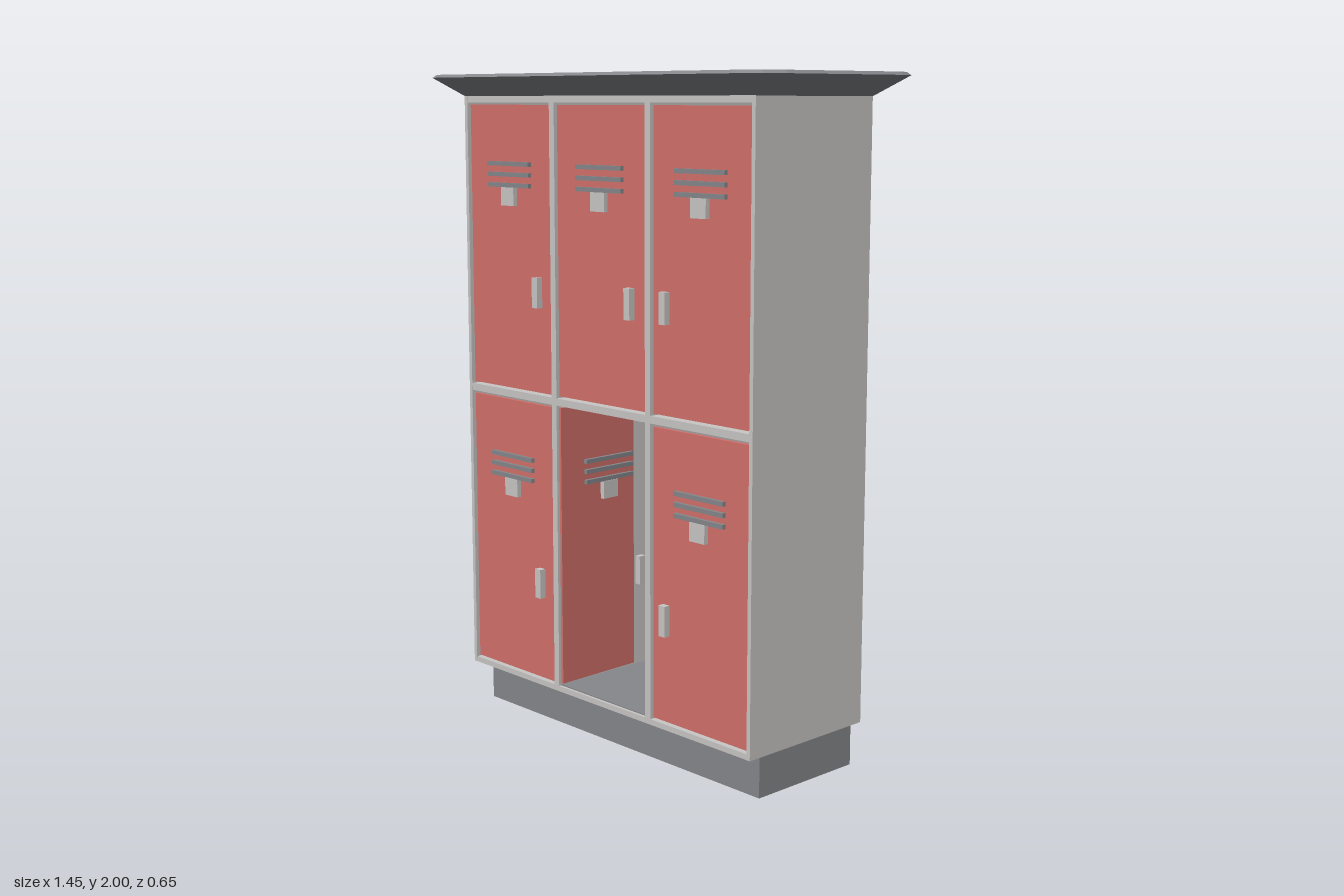
import * as THREE from 'three';

const mat = (name, color) => {
  const m = new THREE.MeshStandardMaterial({ color });
  m.name = name;
  return m;
};

// Box given by its min and max on each axis
function box(parent, name, material, [x0, x1], [y0, y1], [z0, z1]) {
  const mesh = new THREE.Mesh(new THREE.BoxGeometry(x1 - x0, y1 - y0, z1 - z0), material);
  mesh.position.set((x0 + x1) / 2, (y0 + y1) / 2, (z0 + z1) / 2);
  mesh.name = name;
  parent.add(mesh);
  return mesh;
}

// Octagon-like ring with three points per corner, going from +z/+x round to -x/+z
function ring(hx, hz, y, cut) {
  const pts = [];
  const corner = [[0, 1], [0.74, 0.7], [1, 0]]; // share of the cut along x, then along z
  for (const [sx, sz] of [[1, 1], [1, -1], [-1, -1], [-1, 1]]) {
    const order = sx * sz > 0 ? corner : [...corner].reverse();
    for (const [a, b] of order) {
      pts.push([sx * (hx - cut * (1 - a)), y, sz * (hz - cut * (1 - b))]);
    }
  }
  return pts;
}

// Flared roof: sharp corners below, rounded rim above
function roofGeometry() {
  const rings = [
    ring(0.62, 0.232, 1.935, 0),
    ring(0.725, 0.325, 1.991, 0.095),
    ring(0.715, 0.313, 2.0, 0.09),
  ];
  const pos = [];
  const tri = (a, b, c) => pos.push(...a, ...b, ...c);
  const n = rings[0].length;
  for (let r = 0; r < rings.length - 1; r++) {
    for (let i = 0; i < n; i++) {
      const j = (i + 1) % n;
      const [a, b, c, d] = [rings[r][i], rings[r][j], rings[r + 1][j], rings[r + 1][i]];
      if (r > 0 || i % 3 === 2) tri(a, b, c);
      tri(a, c, d);
    }
  }
  const top = rings[2], low = rings[0];
  for (let i = 0; i < n; i++) {
    const j = (i + 1) % n;
    tri([0, 2, 0], top[i], top[j]);
    if (i % 3 === 2) tri([0, 1.935, 0], low[j], low[i]);
  }
  const g = new THREE.BufferGeometry();
  g.setAttribute('position', new THREE.Float32BufferAttribute(pos, 3));
  g.computeVertexNormals();
  return g;
}

export function createModel() {
  const model = new THREE.Group();
  model.name = 'lockers';
  const steel = mat('light grey steel', 0xc9c7c5);
  const red = mat('red door', 0xd2706a);
  const dark = mat('dark grey', 0x85878b);

  // Plinth and roof
  box(model, 'plinth', dark, [-0.6, 0.6], [0, 0.135], [-0.21, 0.175]);
  const roof = new THREE.Mesh(roofGeometry(), dark);
  roof.name = 'roof';
  model.add(roof);

  // Cabinet shell
  const depth = [-0.23, 0.235];
  for (const s of [-1, 1]) {
    const x = s < 0 ? [-0.62, -0.607] : [0.607, 0.62];
    box(model, 'sidePanel', steel, x, [0.13, 1.94], depth);
    const d = s < 0 ? [-0.217, -0.195] : [0.195, 0.217];
    box(model, 'divider', steel, d, [0.145, 1.92], [-0.215, 0.234]);
  }
  box(model, 'backPanel', steel, [-0.607, 0.607], [0.13, 1.94], [-0.23, -0.215]);
  box(model, 'topPanel', steel, [-0.607, 0.607], [1.917, 1.938], [-0.215, 0.234]);
  box(model, 'middleShelf', steel, [-0.607, 0.607], [1.022, 1.044], [-0.215, 0.2335]);
  box(model, 'bottomPanel', steel, [-0.607, 0.607], [0.13, 0.147], [-0.215, 0.234]);
  box(model, 'compartmentFloor', dark, [-0.195, 0.195], [0.147, 0.15], [-0.215, 0.225]);

  // Door with vents, label and handle; origin at its hinge bottom, front face at z = 0
  function door(width, handleX) {
    const g = new THREE.Group();
    g.name = 'door';
    const mid = width / 2;
    box(g, 'doorPanel', red, [0.004, width - 0.004], [0.004, 0.864], [-0.012, 0]);
    for (const y of [0.618, 0.65, 0.682]) {
      box(g, 'vent', dark, [mid - 0.098, mid + 0.098], [y, y + 0.013], [-0.002, 0.012]);
    }
    box(g, 'label', steel, [mid - 0.03, mid + 0.03], [0.563, 0.618], [-0.002, 0.014]);
    box(g, 'handle', steel, [handleX - 0.0125, handleX + 0.0125], [0.263, 0.354], [-0.002, 0.02]);
    return g;
  }

  // Two rows of three; the lower middle door is swung inwards
  const columns = [[-0.607, 0.39, 0.327], [-0.195, 0.39, 0.325], [0.217, 0.39, 0.058]];
  [0.148, 1.046].forEach((y, row) => {
    columns.forEach(([x, width, handleX], col) => {
      const d = door(width, handleX);
      d.position.set(x, y, 0.225);
      if (row === 0 && col === 1) {
        d.name = 'openDoor';
        d.position.set(-0.187, y + 0.002, 0.228);
        d.rotation.y = THREE.MathUtils.degToRad(91.5);
      }
      model.add(d);
    });
  });
  return model;
}
